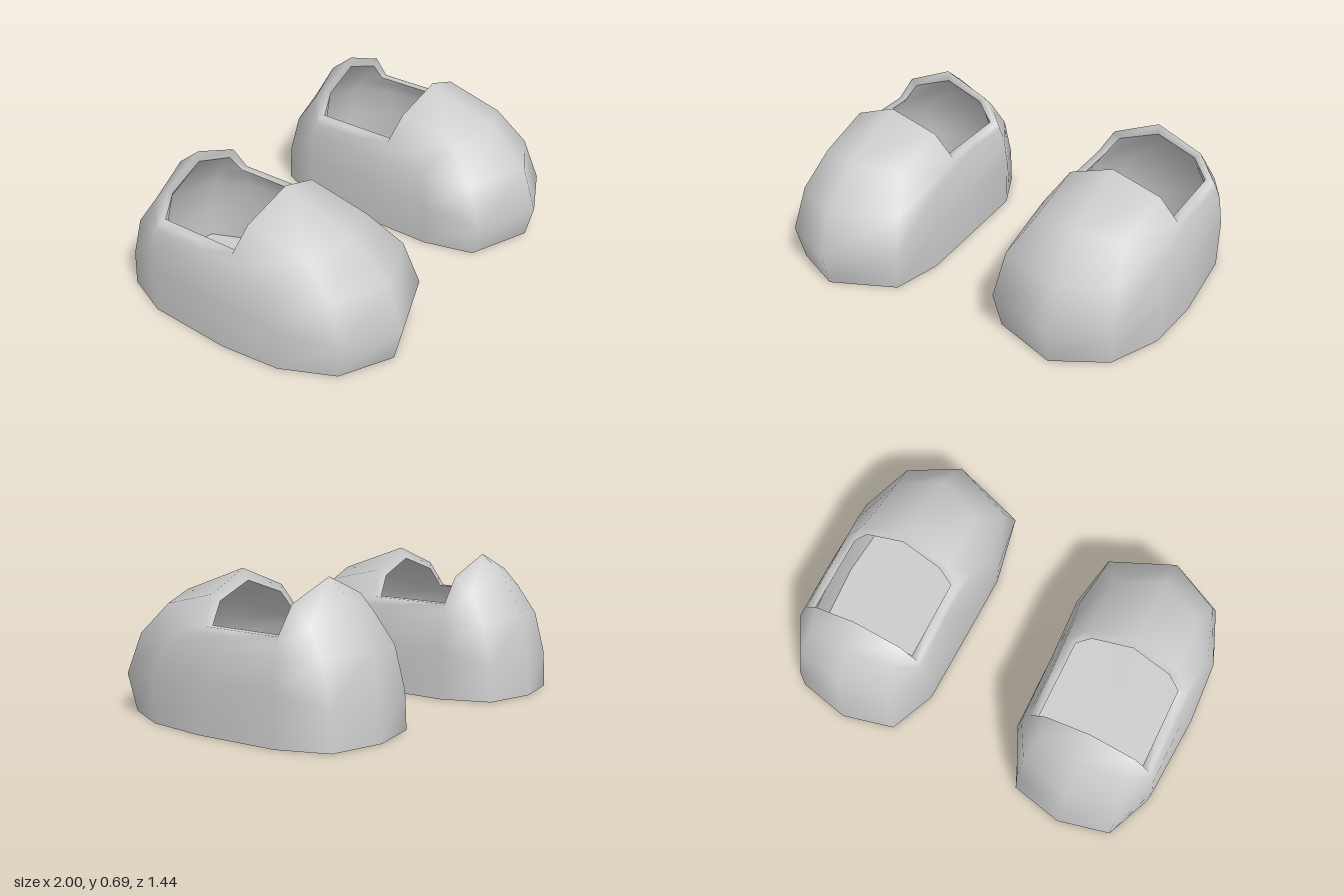
import * as THREE from 'three';

// Half outline of one slipper, toe to heel. Each column runs from the sole up to
// the opening rim as [offset from the slipper's middle, y, z].
const COLUMNS = [
  [[0, 0, 0.68], [0, 0.16, 0.72], [0, 0.38, 0.645], [0, 0.565, 0.455], [0, 0.695, 0.085]],
  [[0.25, 0, 0.55], [0.27, 0.18, 0.59], [0.25, 0.38, 0.51], [0.21, 0.53, 0.36], [0.23, 0.6, 0.055]],
  [[0.365, 0, 0.3], [0.375, 0.22, 0.3], [0.34, 0.39, 0.24], [0.325, 0.45, 0.13], [0.31, 0.47, 0.02]],
  [[0.39, 0, 0], [0.39, 0.24, -0.02], [0.35, 0.38, -0.1], [0.325, 0.44, -0.15], [0.31, 0.47, -0.18]],
  [[0.36, 0, -0.43], [0.365, 0.24, -0.43], [0.345, 0.38, -0.43], [0.325, 0.44, -0.42], [0.31, 0.47, -0.41]],
  [[0.26, 0, -0.66], [0.26, 0.18, -0.65], [0.25, 0.38, -0.6], [0.22, 0.52, -0.51], [0.23, 0.6, -0.42]],
  [[0, 0, -0.72], [0, 0.17, -0.71], [0, 0.4, -0.67], [0, 0.6, -0.55], [0, 0.695, -0.43]],
];
// The instep side is a little fuller at the toe than the outer side
const INSTEP = [1, 1.26, 1.03, 0.95, 1, 1, 1];
const MIDDLE = 0.61;

// Ring of points at one row, counterclockwise seen from above
function ring(row, side) {
  const half = (dir) => COLUMNS.map((col, i) => {
    const [dx, y, z] = col[row];
    const fullness = dir === side ? 1 : 1 + (INSTEP[i] - 1) * [1, 1, 1, 0.4, 0][row];
    return [dir * dx * fullness, y, z];
  });
  return [...half(1), ...half(-1).slice(1, -1).reverse()];
}

// Inner edge of the rim: narrower, and lower over toe and heel
const lip = (side) => ring(4, side).map(([x, y, z]) =>
  [x * 0.87, y - 0.24 * (y - 0.47), z > 0 ? z * 0.6 : z]);

// Smooth skin over a stack of rings of equal length
function skin(rings) {
  const n = rings[0].length;
  const index = [];
  for (let r = 0; r < rings.length - 1; r++) {
    for (let c = 0; c < n; c++) {
      const d = (c + 1) % n;
      const p = r * n + c, q = r * n + d;
      index.push(p, q, q + n, p, q + n, p + n);
    }
  }
  return buildGeometry(rings.flat(), index);
}

// Flat cap over one ring, facing up or down
function cap(points, up) {
  const index = [];
  const n = points.length;
  for (let c = 0; c < n; c++) {
    const d = (c + 1) % n;
    index.push(n, up ? c : d, up ? d : c);
  }
  return buildGeometry([...points, [0, points[0][1], 0]], index);
}

function buildGeometry(points, index) {
  const geometry = new THREE.BufferGeometry();
  geometry.setAttribute('position', new THREE.Float32BufferAttribute(points.flat(), 3));
  geometry.setIndex(index);
  geometry.computeVertexNormals();
  return geometry;
}

export function createModel() {
  const model = new THREE.Group();
  model.name = 'slippers';
  const material = new THREE.MeshStandardMaterial({ color: 0xcccccc, side: THREE.DoubleSide });

  for (const side of [1, -1]) {
    const slipper = new THREE.Group();
    slipper.name = side > 0 ? 'leftSlipper' : 'rightSlipper';
    slipper.position.x = side * MIDDLE;
    const add = (name, geometry) => {
      const mesh = new THREE.Mesh(geometry, material);
      mesh.name = name;
      slipper.add(mesh);
    };

    // Outer shell rolls over the rim to the inner lip
    const outer = [0, 1, 2, 3, 4].map((row) => ring(row, side));
    add('upper', skin([...outer, lip(side)]));
    add('sole', cap(outer[0], false));

    // Lining follows the shell inside, down to the insole
    const inner = [3, 2, 1, 0].map((row) =>
      outer[row].map(([x, y, z]) => [x * 0.9, y * 0.9 + 0.03, z * 0.92]));
    add('lining', skin([lip(side), ...inner]));
    add('insole', cap(inner[3], true));

    model.add(slipper);
  }
  return model;
}
